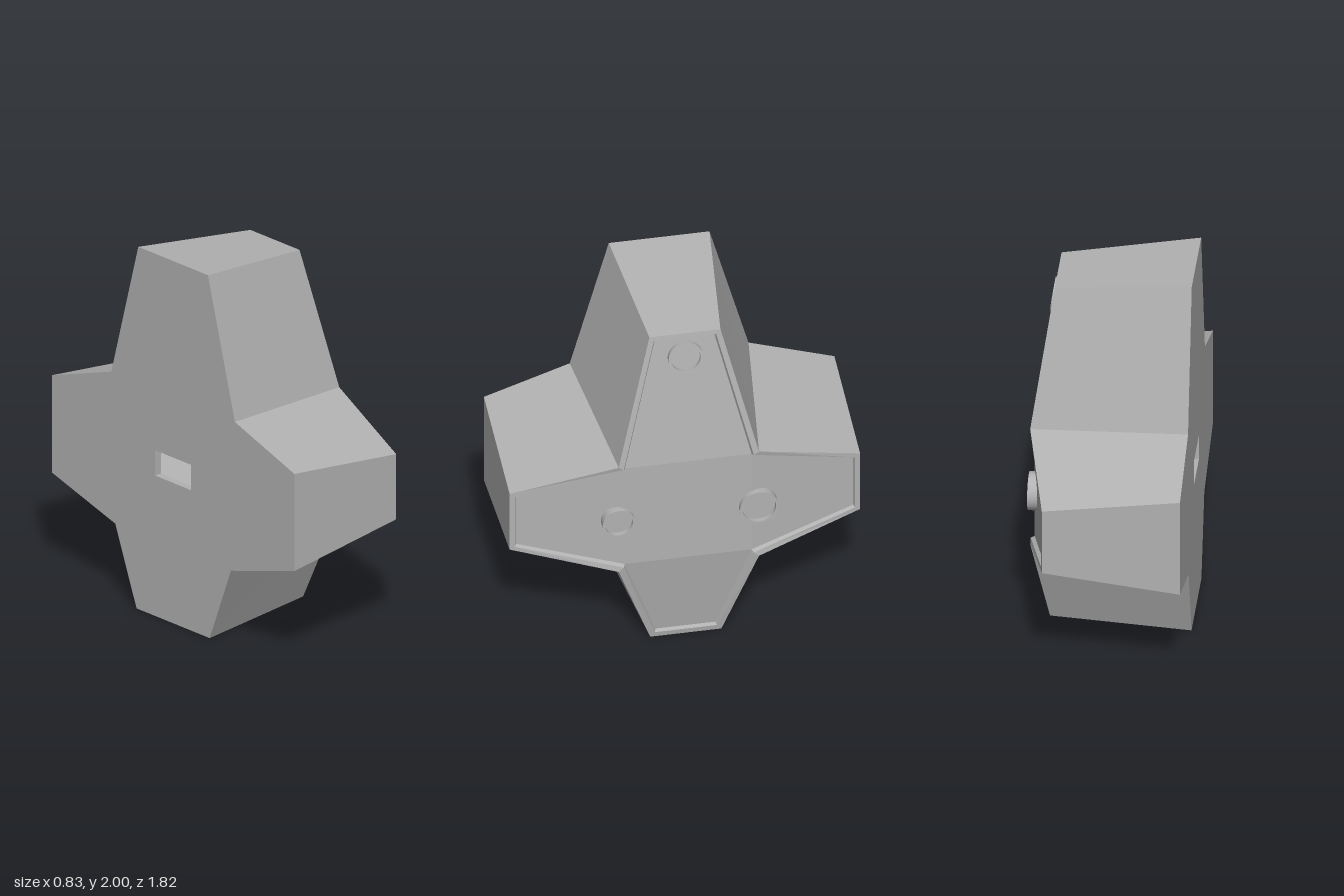
import * as THREE from 'three';
import { toCreasedNormals } from 'three/addons/utils/BufferGeometryUtils.js';

const BACK = -0.415;

// Front surface: flat centre, each arm falling back toward its tip
function frontX(z, y) {
  const side = 0.11 * Math.max(0, (Math.abs(z) - 0.365) / 0.545);
  const up = 0.11 * Math.max(0, (y - 1.185) / 0.735);
  const down = 0.085 * Math.max(0, (0.51 - y) / 0.51);
  return 0.405 - Math.max(side, up, down);
}

// Mirrors half an outline [z, y] (top to bottom) into a closed loop
const outline = (half) => [
  ...half.map(([z, y]) => [-z, y]),
  ...half.slice().reverse(),
];
const place = (loop, xOf) => loop.map(([z, y]) => [xOf(z, y), y, z]);

function fromQuads(quads) {
  const pos = [];
  for (const [a, b, c, d] of quads) pos.push(...a, ...b, ...c, ...a, ...c, ...d);
  const g = new THREE.BufferGeometry();
  g.setAttribute('position', new THREE.Float32BufferAttribute(pos, 3));
  g.computeVertexNormals();
  return g;
}

// Band of quads joining two loops
const band = (a, b) => fromQuads(a.map((p, i) => {
  const j = (i + 1) % a.length;
  return [p, b[i], b[j], a[j]];
}));

export function createModel() {
  const model = new THREE.Group();
  const grey = new THREE.MeshStandardMaterial({ color: 0xb2b2b2 });
  grey.name = 'casing grey';
  const pale = new THREE.MeshStandardMaterial({ color: 0xf4f4f4 });
  pale.name = 'socket white';

  const add = (name, geometry, material = grey) => {
    const mesh = new THREE.Mesh(geometry, material);
    mesh.name = name;
    model.add(mesh);
    return mesh;
  };

  // Cross outlines: back edge, front edge, inside of rim, panel edge
  const backLoop = outline([[0.262, 2], [0.465, 1.25], [0.912, 1.097], [0.912, 0.56], [0.435, 0.42], [0.275, 0]]);
  const frontLoop = outline([[0.185, 1.92], [0.365, 1.185], [0.912, 1.01], [0.912, 0.65], [0.365, 0.51], [0.185, 0]]);
  const rimLoop = outline([[0.162, 1.895], [0.338, 1.167], [0.885, 0.992], [0.885, 0.668], [0.338, 0.535], [0.162, 0.03]]);
  const panelLoop = outline([[0.155, 1.887], [0.33, 1.16], [0.878, 0.986], [0.878, 0.673], [0.33, 0.542], [0.155, 0.038]]);

  const back = place(backLoop, () => BACK);
  const front = place(frontLoop, frontX);
  const rim = place(rimLoop, frontX);
  const panel = place(panelLoop, (z, y) => frontX(z, y) - 0.02);

  add('casingSides', band(back, front));
  add('frontRim', band(front, rim));
  add('rimInnerWall', band(rim, panel));

  // Recessed panel: centre plus four sloping arms
  add('frontPanel', fromQuads(
    [[10, 7, 4, 1], [11, 10, 1, 0], [1, 4, 3, 2], [9, 8, 7, 10], [7, 6, 5, 4]]
      .map((q) => q.map((i) => panel[i]))));

  // Back face with a rectangular socket
  const toVec = ([z, y]) => new THREE.Vector2(z, y);
  const socket = outline([[0.135, 0.915], [0.135, 0.775]]);
  const shape = new THREE.Shape(backLoop.map(toVec));
  shape.holes.push(new THREE.Path(socket.map(toVec)));
  const backGeo = new THREE.ShapeGeometry(shape);
  backGeo.rotateY(-Math.PI / 2).translate(BACK, 0, 0);
  add('backFace', backGeo);

  const depth = 0.04;
  add('socketWalls', band(place(socket, () => BACK + depth), place(socket, () => BACK)));
  const plate = new THREE.PlaneGeometry(0.27, 0.14);
  plate.rotateY(-Math.PI / 2).translate(BACK + depth, 0.845, 0);
  add('socketPlate', plate, pale);

  // Round collars with a sunken disc, standing on the panel
  const collar = (name, z, y, r, normal) => {
    const profile = [[r, -0.03], [r, 0.027], [r - 0.013, 0.027], [r - 0.013, 0.003], [0, 0.003]]
      .map(([a, b]) => new THREE.Vector2(a, b));
    const mesh = add(name, toCreasedNormals(new THREE.LatheGeometry(profile, 40), 0.6));
    mesh.position.set(frontX(z, y) - 0.02, y, z);
    mesh.quaternion.setFromUnitVectors(new THREE.Vector3(0, 1, 0), normal.normalize());
  };
  collar('topCollar', 0, 1.775, 0.09, new THREE.Vector3(0.735, 0.11, 0));
  collar('smallCollar', 0.365, 0.825, 0.085, new THREE.Vector3(1, 0, 0));
  collar('largeCollar', -0.365, 0.825, 0.1, new THREE.Vector3(1, 0, 0));

  return model;
}
